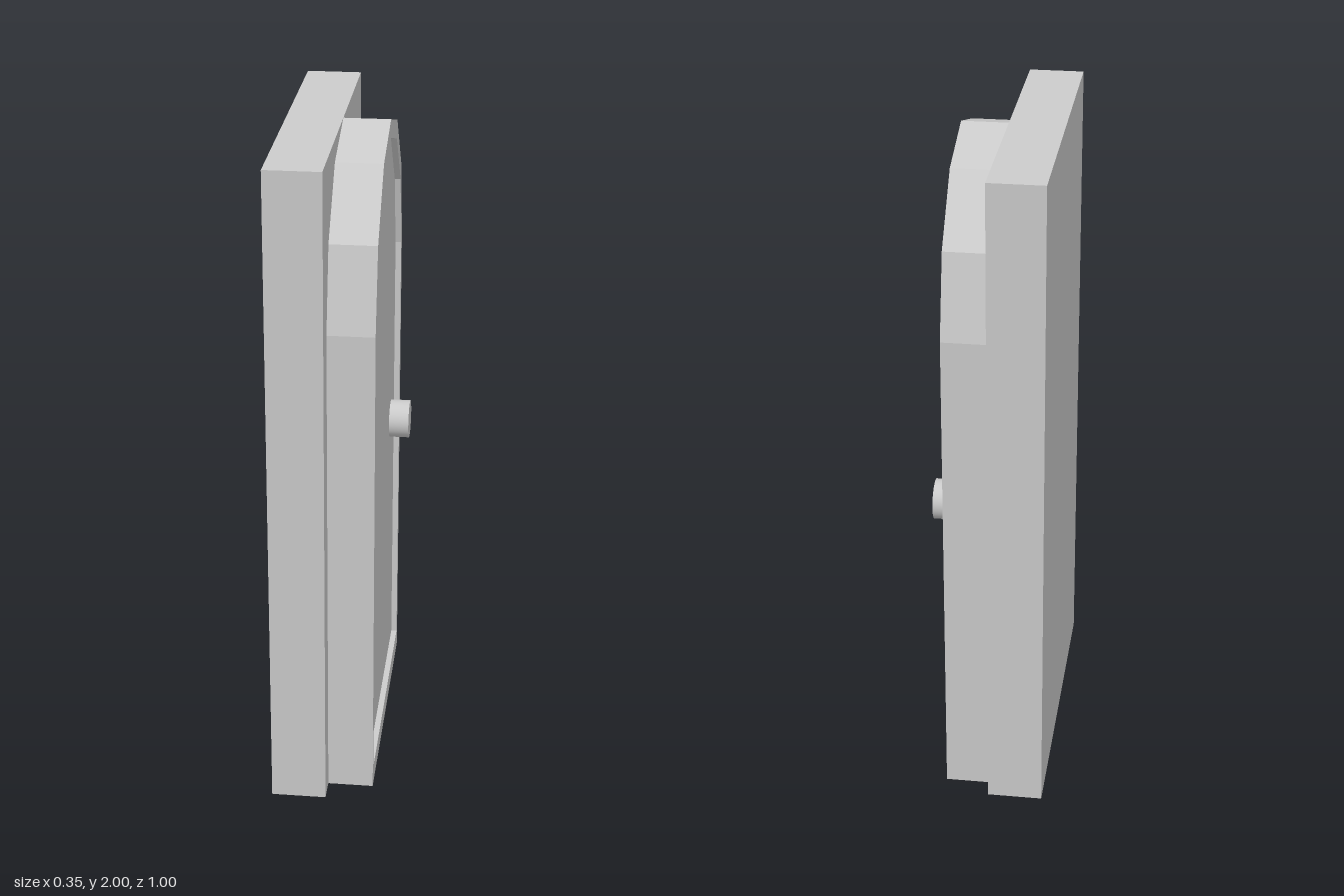
import * as THREE from 'three';

const material = new THREE.MeshStandardMaterial({ color: 0xcccccc });

// Half-arch outline: straight sides rising into a faceted arch, [u, y] with u = -z
const CENTRE = 0.007;
const outer = [[0.432, 0], [0.432, 1.5], [0.376, 1.75], [0.216, 1.935], [0, 2]];
const inner = [[0.409, 0.06], [0.409, 1.48], [0.356, 1.705], [0.205, 1.88], [0, 1.945]];

function archPoints(half) {
  const mirrored = half.slice(0, -1).reverse().map(([u, y]) => [-u, y]);
  return [...half, ...mirrored].map(([u, y]) => new THREE.Vector2(u + CENTRE, y));
}

// Extrude a side-on outline along x, from x0 to x1
function extrudeAlongX(shape, x0, x1) {
  const geometry = new THREE.ExtrudeGeometry(shape, { depth: x1 - x0, bevelEnabled: false });
  return geometry.rotateY(Math.PI / 2).translate(x0, 0, 0);
}

export function createModel() {
  const model = new THREE.Group();
  model.name = 'archedDoor';
  const add = (name, geometry) => {
    const mesh = new THREE.Mesh(geometry, material);
    mesh.name = name;
    model.add(mesh);
    return mesh;
  };

  // Rectangular wall slab behind the door
  add('wallSlab', new THREE.BoxGeometry(0.165, 2, 1)).position.set(-0.0925, 1, 0);

  // Raised arched frame around the door leaf
  const frame = new THREE.Shape(archPoints(outer));
  frame.holes.push(new THREE.Path(archPoints(inner)));
  add('archFrame', extrudeAlongX(frame, -0.01, 0.128));

  // Door leaf, slightly recessed inside the frame
  add('doorPanel', extrudeAlongX(new THREE.Shape(archPoints(inner)), -0.01, 0.11));

  // Round knob
  const knob = new THREE.CylinderGeometry(0.06, 0.06, 0.08, 32).rotateZ(-Math.PI / 2);
  add('doorKnob', knob).position.set(0.132, 0.922, -0.298);

  return model;
}
